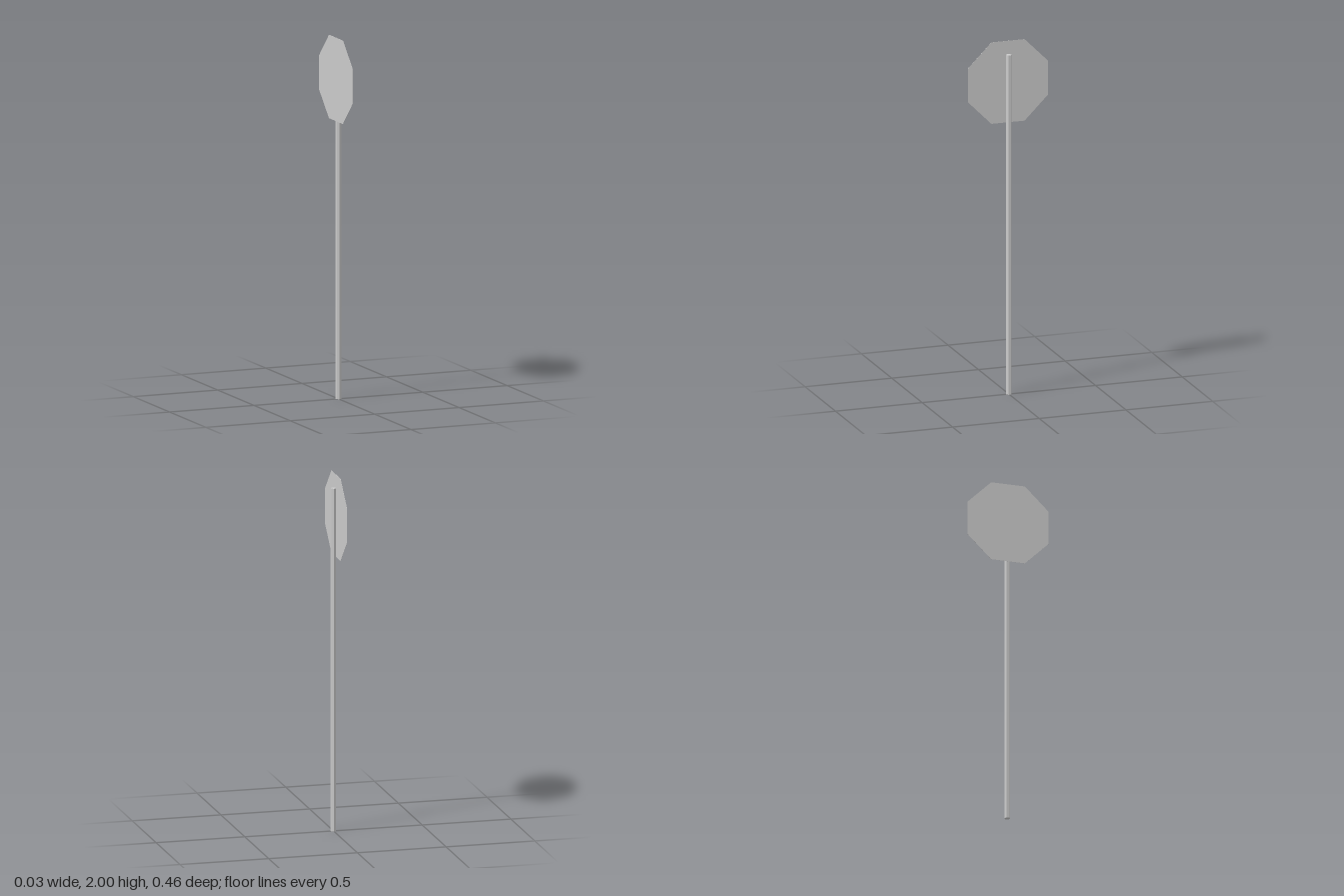
import * as THREE from 'three';

export function createModel() {
  const group = new THREE.Group();
  const material = new THREE.MeshStandardMaterial({ color: 0xcccccc, flatShading: true });

  // Hexagonal pole with corners towards front and back
  const poleHeight = 1.925;
  const poleRadius = 0.0157;
  const poleX = 0.0007;
  const pole = new THREE.Mesh(
    new THREE.CylinderGeometry(poleRadius, poleRadius, poleHeight, 6), material);
  pole.name = 'pole';
  pole.position.set(poleX, poleHeight / 2, 0);
  group.add(pole);

  // Thin octagonal plate standing upright against the pole's -x flat
  const halfWidth = 0.231;
  const thickness = 0.001;
  const plateRadius = halfWidth / Math.cos(Math.PI / 8);
  const plateGeometry = new THREE.CylinderGeometry(
    plateRadius, plateRadius, thickness, 8, 1, false, Math.PI / 8);
  plateGeometry.rotateZ(Math.PI / 2);
  const plate = new THREE.Mesh(plateGeometry, material);
  plate.name = 'signPlate';
  const flat = poleX - poleRadius * Math.cos(Math.PI / 6);
  plate.position.set(flat - 0.0011, 2 - halfWidth, 0);
  group.add(plate);

  return group;
}
